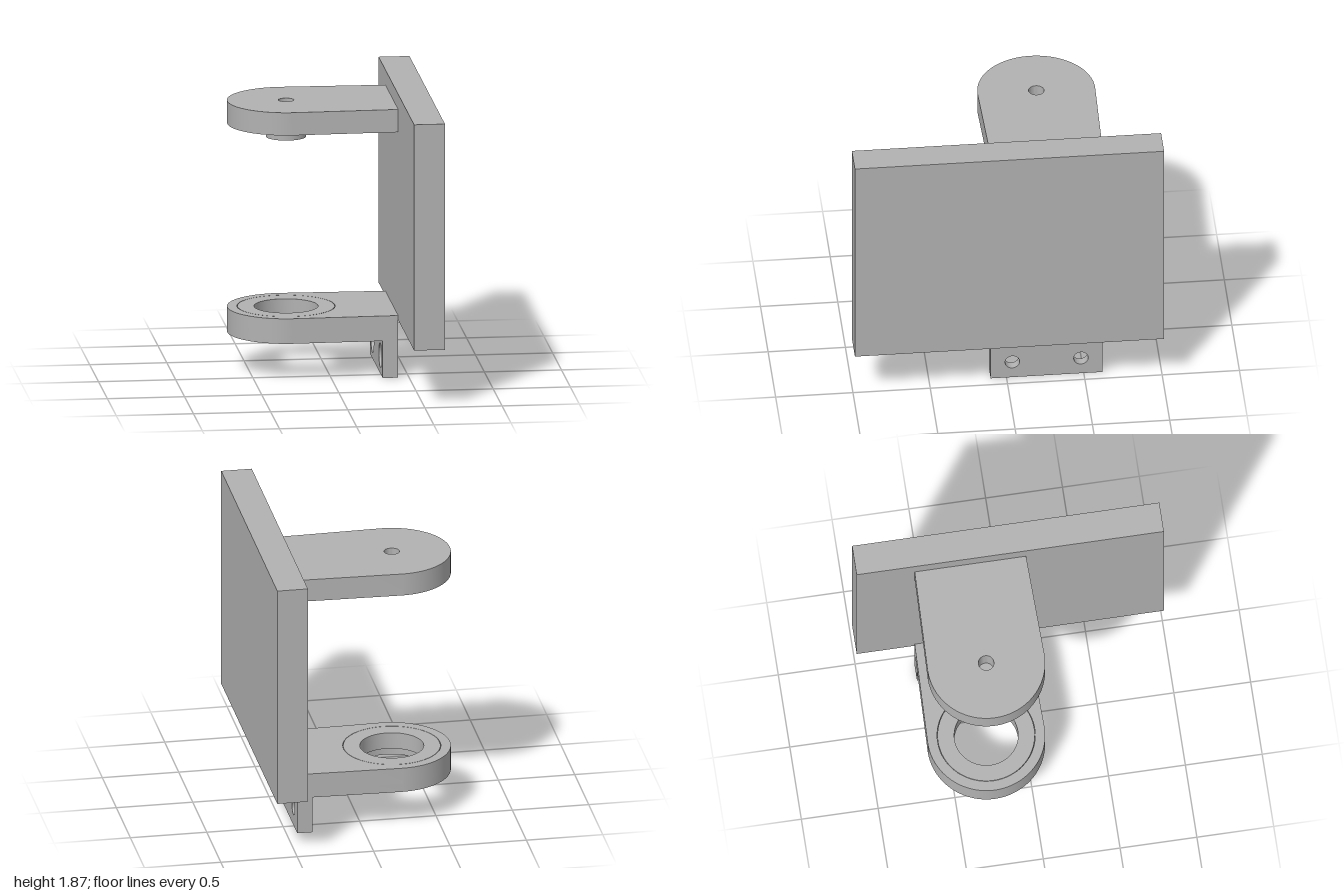
import * as THREE from 'three';
import { toCreasedNormals } from 'three/addons/utils/BufferGeometryUtils.js';

const PIVOT_X = -0.255, PIVOT_Z = -0.26, PLATE_X = 0.43;
const ARM_R = 0.38, ROOT_HALF = 0.3625;

const circle = (r, x = 0, y = 0) => new THREE.Path().absarc(x, y, r, 0, Math.PI * 2, true);

function rectPath(hx, hy) {
  return new THREE.Path([[-hx, -hy], [-hx, hy], [hx, hy], [hx, -hy]].map(p => new THREE.Vector2(...p)));
}

// Rounded arm outline around the pivot, slightly tapering to its root
function armShape(hole) {
  const root = PLATE_X - PIVOT_X, a = Math.PI / 2 - 0.026;
  const s = new THREE.Shape();
  s.moveTo(root, -ROOT_HALF);
  s.lineTo(root, ROOT_HALF);
  s.absarc(0, 0, ARM_R, a, Math.PI * 2 - a, false);
  s.closePath();
  if (hole) s.holes.push(hole);
  return s;
}

function extrude(shape, depth) {
  const g = new THREE.ExtrudeGeometry(shape, { depth, bevelEnabled: false, curveSegments: 48 });
  return toCreasedNormals(g, 0.5);
}

export function createModel() {
  const group = new THREE.Group();
  const grey = new THREE.MeshStandardMaterial({ color: 0xb2b2b2 });

  const add = (name, geometry, x, y, z) => {
    const mesh = new THREE.Mesh(geometry, grey);
    mesh.name = name;
    mesh.position.set(x, y, z);
    group.add(mesh);
  };
  // Horizontal slab around the pivot between two heights
  const slab = (name, shape, y0, y1) =>
    add(name, extrude(shape, y1 - y0).rotateX(-Math.PI / 2), PIVOT_X, y0, PIVOT_Z);

  // Large upright plate
  add('backPlate', new THREE.BoxGeometry(0.2, 1.49, 2), 0.53, 1.125, 0);

  // Upper arm with a pilot hole and a shallow recess underneath
  slab('upperArm', armShape(circle(0.05)), 1.63, 1.77);
  slab('upperArmUnderside', armShape(rectPath(0.155, 0.22)), 1.62, 1.63);
  add('pivotBoss', new THREE.CylinderGeometry(0.13, 0.13, 0.1, 64), PIVOT_X, 1.58, PIVOT_Z);

  // Lower arm: bearing seat above a narrower lip
  slab('lowerArmLip', armShape(circle(0.24)), 0.245, 0.3);
  slab('lowerArm', armShape(circle(0.316)), 0.3, 0.41);
  const ring = new THREE.Shape().absarc(0, 0, 0.313, 0, Math.PI * 2, false);
  ring.holes.push(circle(0.206));
  slab('bearingRing', ring, 0.3, 0.41);

  // Mounting flange with two counterbored screw holes
  const flange = (name, r, x0, x1) => {
    const s = new THREE.Shape([[-ROOT_HALF, 0], [ROOT_HALF, 0], [ROOT_HALF, 0.245], [-ROOT_HALF, 0.245]]
      .map(p => new THREE.Vector2(...p)));
    for (const side of [-1, 1]) s.holes.push(circle(r, side * 0.222, 0.12));
    add(name, extrude(s, x1 - x0).rotateY(Math.PI / 2), x0, 0, PIVOT_Z);
  };
  flange('flangeCounterbore', 0.08, 0.33, 0.37);
  flange('flange', 0.047, 0.37, PLATE_X);

  return group;
}
